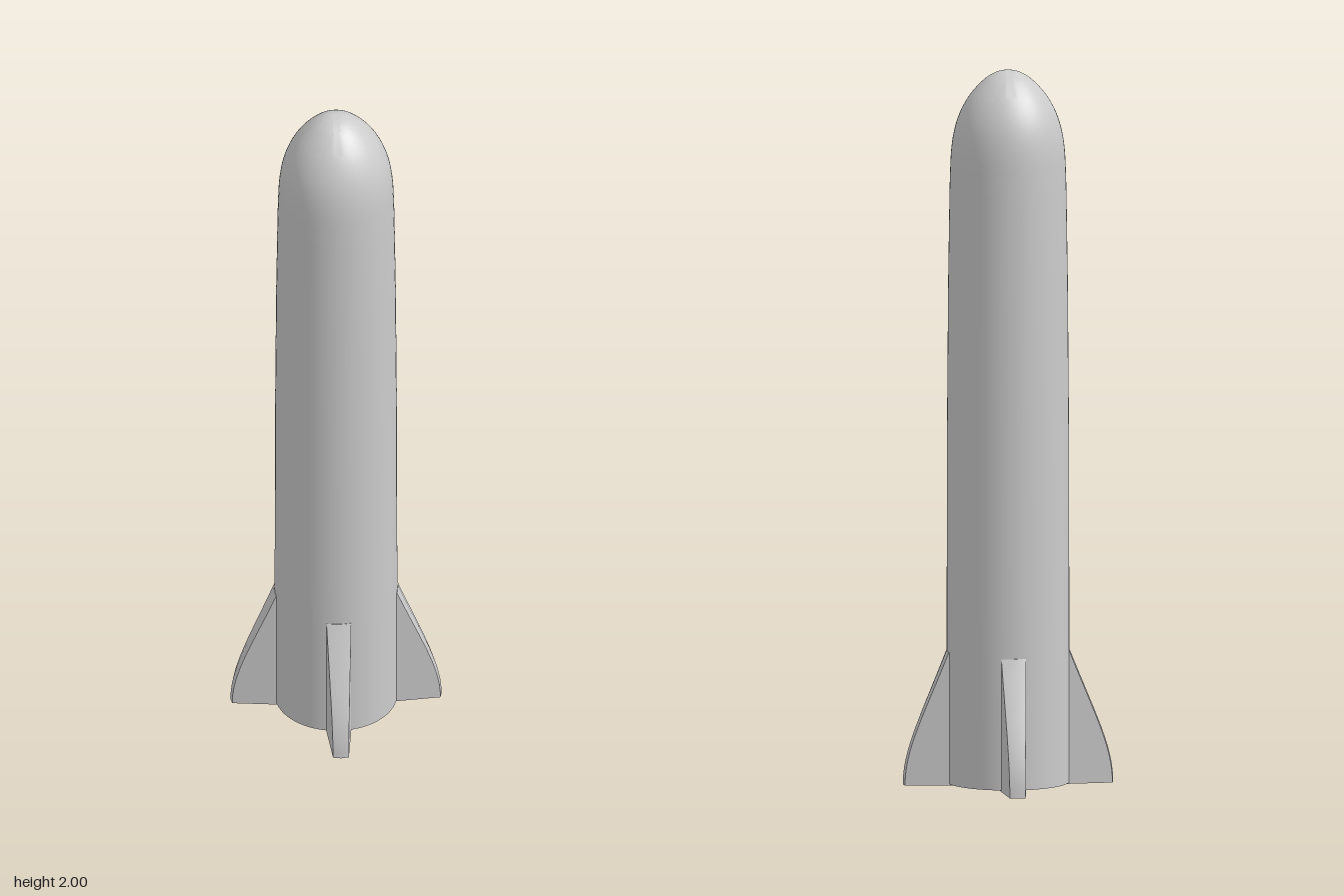
import * as THREE from 'three';
import { toCreasedNormals } from 'three/addons/utils/BufferGeometryUtils.js';

const grey = new THREE.MeshStandardMaterial({ color: 0xcccccc });

function mesh(name, geometry) {
  const m = new THREE.Mesh(geometry, grey);
  m.name = name;
  return m;
}

// Long, faintly tapering tube with a rounded nose
function hullGeometry() {
  const nose = new THREE.SplineCurve([
    [0.163, 1.6], [0.161, 1.7], [0.156, 1.79], [0.141, 1.86],
    [0.112, 1.92], [0.072, 1.967], [0.035, 1.992], [0, 2],
  ].map(([r, y]) => new THREE.Vector2(r, y))).getPoints(40);
  nose[nose.length - 1].x = 0;
  const wall = [[0, 0.004], [0.17, 0.004], [0.17, 0.5], [0.169, 1], [0.166, 1.4]]
    .map(([r, y]) => new THREE.Vector2(r, y));
  return toCreasedNormals(new THREE.LatheGeometry([...wall, ...nose], 64), 0.6);
}

// Swept fin: side outline extruded, then thinned towards its outer edge
function finGeometry() {
  const root = 0.15;
  const outline = new THREE.Shape();
  outline.moveTo(root, 0);
  outline.lineTo(0.289, 0);
  outline.bezierCurveTo(0.289, 0.1, 0.24, 0.19, 0.168, 0.372);
  outline.lineTo(root, 0.372);
  outline.closePath();
  const geo = new THREE.ExtrudeGeometry(outline, {
    depth: 2, steps: 2, bevelEnabled: false, curveSegments: 12,
  });
  const p = geo.attributes.position;
  for (let i = 0; i < p.count; i++) {
    const r = p.getX(i);
    const side = Math.round(p.getZ(i)) - 1; // -1, 0 or 1
    const half = THREE.MathUtils.mapLinear(r, 0.17, 0.289, 0.034, 0.022);
    p.setZ(i, side * half);
    if (side === 0 && r > root + 0.001) p.setX(i, r + 0.004); // bulged edge
  }
  return toCreasedNormals(geo, 0.5);
}

export function createModel() {
  const model = new THREE.Group();
  model.name = 'rocket';
  model.add(mesh('hull', hullGeometry()));

  // Four fins, one on each axis
  const fin = finGeometry();
  ['leftFin', 'backFin', 'rightFin', 'frontFin'].forEach((name, i) => {
    const f = mesh(name, fin);
    f.rotation.y = i * Math.PI / 2;
    model.add(f);
  });
  return model;
}
